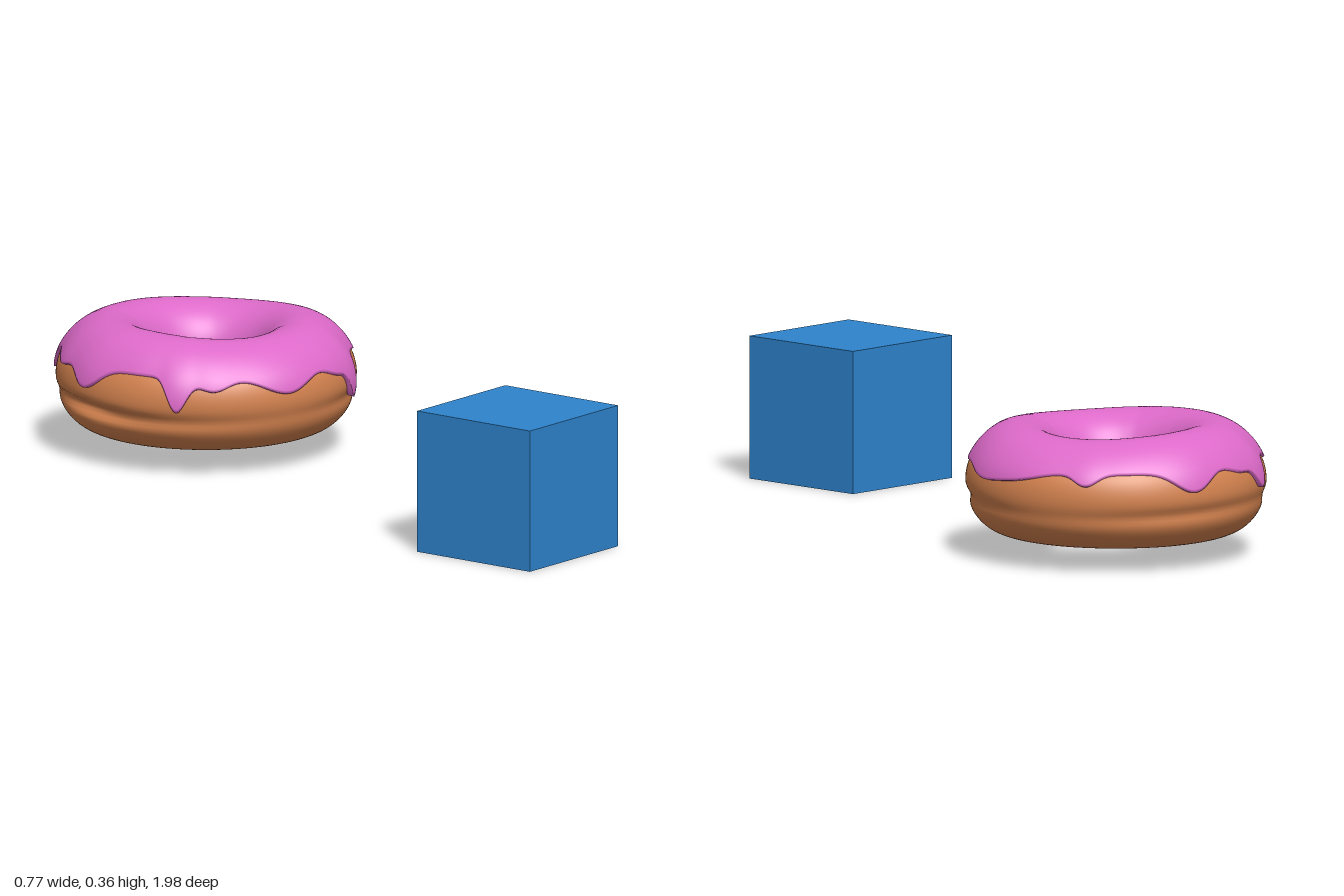
import * as THREE from 'three';

// Ring cross-section (radius, height): up the hole wall, over the top, down the outside
const PROFILE = new THREE.CatmullRomCurve3([
  [0.21, 0.057], [0.165, 0.08], [0.14, 0.13], [0.131, 0.19], [0.138, 0.245],
  [0.165, 0.29], [0.205, 0.317], [0.25, 0.324], [0.3, 0.309], [0.34, 0.279],
  [0.367, 0.242], [0.378, 0.2], [0.374, 0.155], [0.358, 0.11], [0.325, 0.075], [0.28, 0.057],
].map(([r, y]) => new THREE.Vector3(r, y, 0)), true);
const N = 16;
const T_TOP = 7 / N, T_INNER = 3 / N, T_OUTER = 13 / N;

const rad = THREE.MathUtils.degToRad;
const bump = (a, centre, width) => {
  let d = Math.abs(a - rad(centre)) % (Math.PI * 2);
  d = Math.min(d, Math.PI * 2 - d) / rad(width);
  return Math.exp(-d * d);
};

// Icing drips: angle, half width, length (degrees and units)
const DRIPS = [
  [0, 15, 0.035], [27, 9, 0.012], [52, 5, 0.088], [62, 9, 0.03], [92, 13, 0.045],
  [122, 8, 0.03], [136, 5, 0.078], [178, 9, 0.05], [200, 9, 0.02], [227, 6, 0.065],
  [240, 9, 0.02], [268, 10, 0.05], [311, 6, 0.03], [340, 13, 0.02],
];
const dripLength = a => DRIPS.reduce((s, [c, w, l]) => s + l * bump(a, c, w), 0);

// Point on the ring, pushed out along the section normal, with a gently uneven top
function ringPoint(a, t, offset) {
  const p = PROFILE.getPoint(t), d = PROFILE.getTangent(t);
  const r = p.x - d.y * offset;
  let y = p.y + d.x * offset;
  const lump = 0.005 * Math.sin(2 * a + 0.6) - 0.004 * Math.cos(a) + 0.003 * Math.sin(3 * a);
  y += lump * THREE.MathUtils.smoothstep(y, 0.22, 0.33);
  return [r, y];
}

// Parameter at which one side of the profile reaches a height
function paramAt(y, low, high) {
  for (let i = 0; i < 24; i++) {
    const mid = (low + high) / 2;
    if (PROFILE.getPoint(mid).y < y) low = mid; else high = mid;
  }
  return low;
}

// Sweep a section around the vertical axis; section(a, j) gives [radius, height]
function sweep(segments, rows, closed, section) {
  const pos = [], index = [];
  for (let i = 0; i < segments; i++) {
    const a = i / segments * Math.PI * 2, at = section(a);
    for (let j = 0; j < rows; j++) {
      const [r, y] = at(j);
      pos.push(r * Math.cos(a), y, r * Math.sin(a));
    }
  }
  for (let i = 0; i < segments; i++) {
    const k = (i + 1) % segments;
    for (let j = 0; j < (closed ? rows : rows - 1); j++) {
      const n = (j + 1) % rows;
      const A = i * rows + j, B = k * rows + j, C = k * rows + n, D = i * rows + n;
      index.push(A, B, D, B, C, D);
    }
  }
  const g = new THREE.BufferGeometry();
  g.setAttribute('position', new THREE.Float32BufferAttribute(pos, 3));
  g.setIndex(index);
  g.computeVertexNormals();
  return g;
}

function makeDough() {
  const rows = 80;
  return sweep(144, rows, true, a => j => {
    let [r, y] = ringPoint(a, j / rows, 0);
    // uneven crease round the outer wall, deepest on one side
    if (r > 0.28) {
      const depth = 0.006 + 0.003 * Math.sin(3 * a) + 0.022 * bump(a, 180, 22);
      const h = (y - 0.15 - 0.006 * Math.sin(2 * a)) / 0.017;
      r -= depth * Math.exp(-h * h);
    }
    return [r, y];
  });
}

function makeIcing() {
  const rows = 44;
  return sweep(360, rows, false, a => {
    const drip = dripLength(a);
    const t0 = paramAt(0.24 + 0.008 * Math.sin(3 * a + 1), T_INNER, T_TOP);
    const t1 = paramAt(0.256 - drip, T_OUTER, T_TOP);
    return j => {
      // the first and last rows tuck the rim into the dough
      const rim = j === 0 || j === rows - 1;
      const v = THREE.MathUtils.clamp((j - 1) / (rows - 3), 0, 1);
      const thick = 0.005 + 0.006 * Math.sin(Math.PI * v) + 0.1 * drip * v ** 6;
      return ringPoint(a, t0 + (t1 - t0) * v, rim ? -0.002 : thick);
    };
  });
}

export function createModel() {
  const model = new THREE.Group();
  const add = (name, geometry, color, parent) => {
    const mesh = new THREE.Mesh(geometry,
      new THREE.MeshStandardMaterial({ color, side: THREE.DoubleSide }));
    mesh.name = name;
    parent.add(mesh);
    return mesh;
  };

  // Iced doughnut at the back
  const doughnut = new THREE.Group();
  doughnut.name = 'doughnut';
  doughnut.position.z = -0.6;
  add('dough', makeDough(), 0xd5834f, doughnut);
  add('icing', makeIcing(), 0xdd6ac9, doughnut);
  model.add(doughnut);

  // Turned cube at the front
  const cube = add('cube', new THREE.BoxGeometry(0.36, 0.363, 0.36), 0x2d83cc, model);
  cube.position.set(0, 0.1815, 0.772);
  cube.rotation.y = 0.3;
  return model;
}
